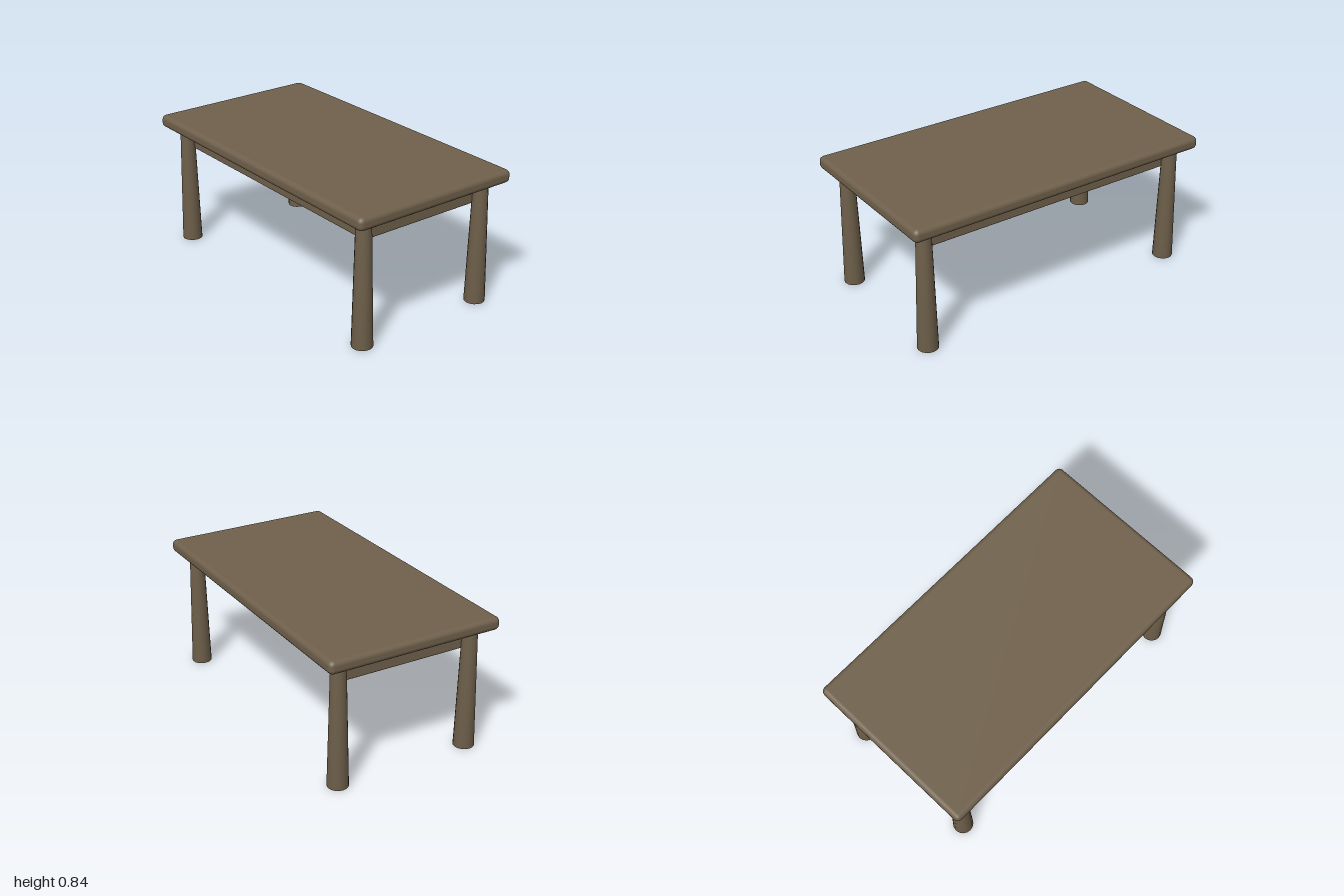
import * as THREE from 'three';
import { RoundedBoxGeometry } from 'three/addons/geometries/RoundedBoxGeometry.js';

export function createModel() {
  const table = new THREE.Group();
  table.name = 'table';
  const wood = new THREE.MeshStandardMaterial({ color: 0x6f604b });
  wood.name = 'brown wood';

  const add = (name, geometry, x, y, z) => {
    const mesh = new THREE.Mesh(geometry, wood);
    mesh.name = name;
    mesh.position.set(x, y, z);
    table.add(mesh);
  };

  // Thick top with rounded edges
  add('tableTop', new RoundedBoxGeometry(2, 0.08, 1.1, 2, 0.03), 0, 0.802, 0);

  // Solid apron block under the top
  add('apron', new RoundedBoxGeometry(1.71, 0.16, 0.81, 2, 0.01), 0, 0.705, 0);

  // Round legs, wider at the foot, softly shaded into the sole
  const profile = [[0, 0], [0.063, 0], [0.044, 0.77]].map(([r, y]) => new THREE.Vector2(r, y));
  const leg = new THREE.LatheGeometry(profile, 16);
  for (const [side, x] of [['left', 0.88], ['right', -0.88]]) {
    for (const [end, z] of [['Front', 0.43], ['Back', -0.43]]) {
      add(`${side}${end}Leg`, leg, x, 0, z);
    }
  }
  return table;
}
